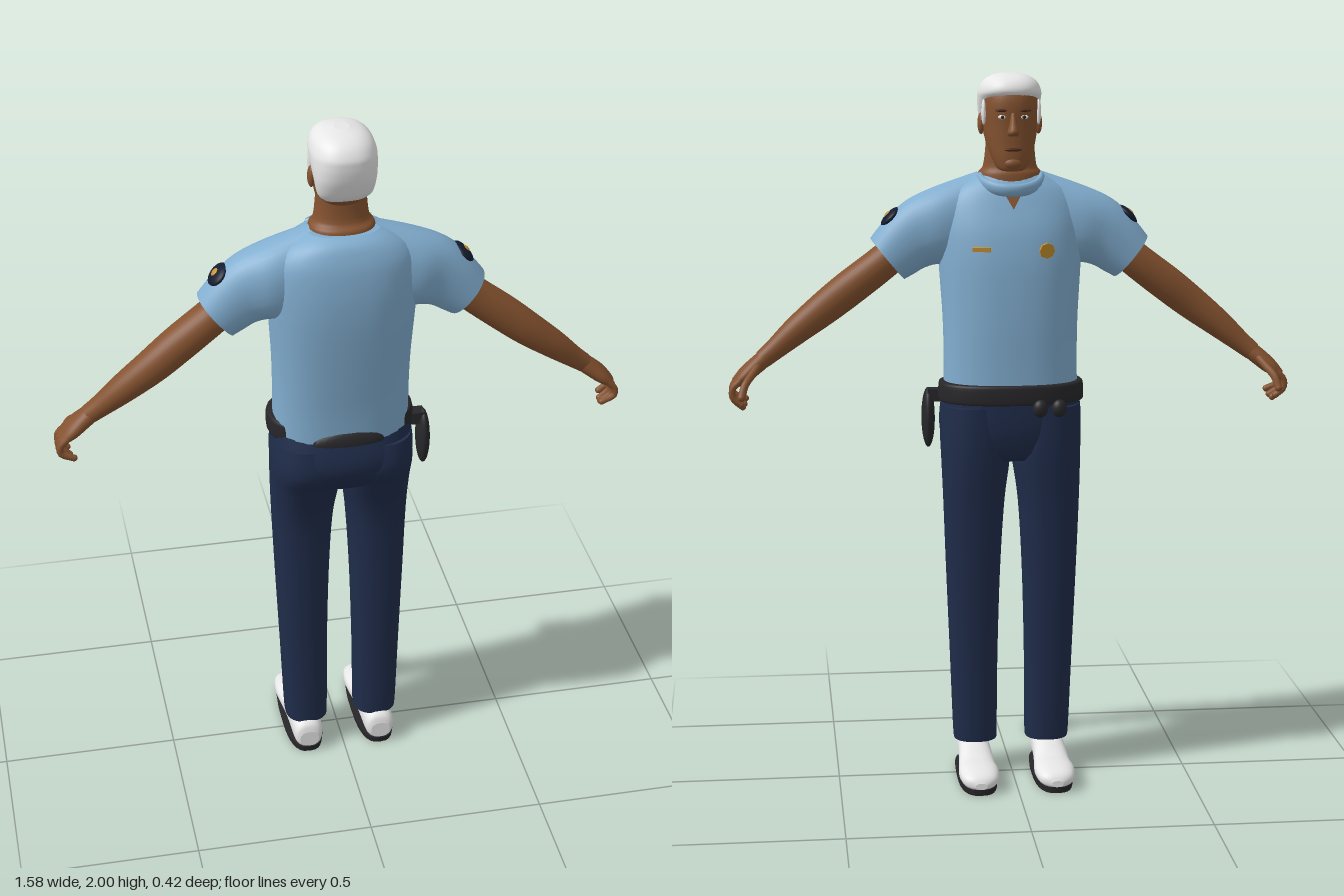
import * as THREE from 'three';
import { mergeGeometries } from 'three/addons/utils/BufferGeometryUtils.js';

const mat = (name, color) => {
  const m = new THREE.MeshStandardMaterial({ color });
  m.name = name;
  return m;
};

// Smooth skin over rings. Row: [ax, ay, bx, by, z0, z1] = two opposite ring points in xy and the z range.
function loft(keys, n = 2.2, steps = 4, seg = 32) {
  const rows = [];
  const at = i => keys[Math.max(0, Math.min(keys.length - 1, i))];
  for (let i = 0; i < keys.length - 1; i++) {
    for (let s = 0; s < steps; s++) {
      const t = s / steps, [p, q, r, w] = [at(i - 1), at(i), at(i + 1), at(i + 2)];
      rows.push(q.map((v, k) => v + 0.5 * t * (r[k] - p[k] +
        t * (2 * p[k] - 5 * v + 4 * r[k] - w[k] + t * (3 * (v - r[k]) + w[k] - p[k])))));
    }
  }
  rows.push(at(keys.length - 1));
  const pos = [], idx = [];
  const pw = v => Math.sign(v) * Math.abs(v) ** (2 / n);
  const ring = ([ax, ay, bx, by, z0, z1]) => {
    for (let j = 0; j < seg; j++) {
      const a = j / seg * Math.PI * 2, c = pw(Math.cos(a)) / 2, s = pw(Math.sin(a)) / 2;
      pos.push((ax + bx) / 2 + c * (ax - bx), (ay + by) / 2 + c * (ay - by), (z0 + z1) / 2 + s * (z1 - z0));
    }
  };
  rows.forEach(ring);
  const f = rows[0], l = rows[rows.length - 1];
  const dx = l[0] + l[2] - f[0] - f[2], dy = l[1] + l[3] - f[1] - f[3];
  const flip = (f[1] - f[3]) * dx - (f[0] - f[2]) * dy > 0;
  const tri = (a, b, c) => flip ? idx.push(a, c, b) : idx.push(a, b, c);
  for (let i = 0; i < rows.length - 1; i++) {
    for (let j = 0; j < seg; j++) {
      const a = i * seg + j, b = i * seg + (j + 1) % seg;
      tri(a, a + seg, b);
      tri(b, a + seg, b + seg);
    }
  }
  // flat end caps with their own corners
  [f, l].forEach((r, e) => {
    const o = pos.length / 3;
    ring(r);
    pos.push((r[0] + r[2]) / 2, (r[1] + r[3]) / 2, (r[4] + r[5]) / 2);
    for (let j = 0; j < seg; j++) {
      const a = o + j, b = o + (j + 1) % seg;
      if (e) tri(a, o + seg, b); else tri(a, b, o + seg);
    }
  });
  const g = new THREE.BufferGeometry();
  g.setAttribute('position', new THREE.Float32BufferAttribute(pos, 3));
  g.setIndex(idx);
  g.computeVertexNormals();
  return g;
}

// Upright rows: [y, half width, front z, back z]
const upright = (rows, n) => loft(rows.map(([y, w, z0, z1]) => [w, y, -w, y, z0, z1]), n);

const ball = (x, y, z, rx, ry, rz, tilt = 0) =>
  new THREE.SphereGeometry(1, 24, 16).scale(rx, ry, rz).rotateZ(tilt).translate(x, y, z);

function mirrored(geo) {
  const g = geo.clone().scale(-1, 1, 1), ix = g.index.array;
  for (let i = 0; i < ix.length; i += 3) [ix[i], ix[i + 1]] = [ix[i + 1], ix[i]];
  return g;
}

export function createModel() {
  const skin = mat('skin', 0x84522f), white = mat('white', 0xeaeaea), shirt = mat('shirt blue', 0x82aed0);
  const navy = mat('trouser navy', 0x1f2c4a), black = mat('black', 0x27272a), gold = mat('gold', 0xc8912e);
  const patch = mat('patch navy', 0x141c30), lip = mat('dark brown', 0x50291c);
  const root = new THREE.Group();
  root.name = 'officer';
  const add = (name, geo, m) => {
    const mesh = new THREE.Mesh(geo, m);
    mesh.name = name;
    root.add(mesh);
    return mesh;
  };
  const pair = (name, geo, m) => {
    add('left ' + name, geo, m);
    add('right ' + name, mirrored(geo), m);
  };

  // Shirt
  add('shirt body', upright([
    [1.1, .19, -.08, .178], [1.2, .188, -.08, .183], [1.32, .19, -.081, .195], [1.45, .198, -.077, .207],
    [1.52, .202, -.07, .21], [1.58, .203, -.058, .208], [1.64, .195, -.037, .2], [1.68, .168, -.021, .187],
    [1.705, .13, -.008, .172], [1.72, .1, .002, .15]], 2.4), shirt);
  pair('sleeve', loft([
    [.09, 1.728, .12, 1.45, .0, .15], [.2, 1.69, .19, 1.47, -.012, .16],
    [.285, 1.652, .235, 1.463, -.004, .145], [.345, 1.6, .268, 1.445, 0, .14],
    [.39, 1.545, .296, 1.43, .002, .138]]), shirt);
  add('collar', new THREE.TorusGeometry(.085, .011, 12, 32, Math.PI).rotateX(-Math.PI / 2)
    .scale(1, 1.7, 1).rotateX(-.35).translate(0, 1.712, .045), shirt);
  const vee = new THREE.BufferGeometry().setFromPoints([[-.03, 1.685, -.027], [.03, 1.685, -.027], [0, 1.632, -.046]]
    .map(p => new THREE.Vector3(...p)));
  vee.computeVertexNormals();
  add('open neckline', vee, skin);

  // Badge, name plate and shoulder patches
  add('badge', new THREE.CylinderGeometry(.022, .022, .008, 8).rotateX(Math.PI / 2 - .12).rotateY(.25)
    .translate(-.09, 1.52, -.066), gold);
  add('name plate', new THREE.BoxGeometry(.05, .012, .008).rotateX(-.12).rotateY(-.25)
    .translate(.09, 1.525, -.065), gold);
  const slope = -.8;
  pair('shoulder patch', ball(.334, 1.604, .068, .035, .013, .041, slope), patch);
  pair('patch emblem', ball(.341, 1.611, .068, .013, .006, .014, slope), gold);

  // Neck and head
  add('neck', upright([[1.68, .092, -.008, .14], [1.724, .089, -.006, .138], [1.745, .075, .002, .12],
    [1.8, .068, .002, .115], [1.84, .066, .01, .12]]), skin);
  add('head', upright([[1.735, .025, -.022, .02], [1.742, .04, -.032, .05], [1.77, .055, -.036, .09],
    [1.81, .068, -.035, .125], [1.86, .076, -.035, .15], [1.92, .079, -.037, .165], [1.96, .07, -.022, .15],
    [1.985, .045, .01, .12]], 2.3), skin);
  add('hair', upright([[1.815, .055, .08, .13], [1.835, .073, .073, .15], [1.875, .082, .056, .168],
    [1.905, .086, .024, .175], [1.93, .088, -.01, .177], [1.95, .087, -.037, .175], [1.975, .076, -.03, .158],
    [1.992, .053, -.004, .13], [2, .02, .04, .09]], 2.4), white);
  pair('sideburn', ball(.076, 1.895, .022, .007, .035, .013), white);
  pair('ear', ball(.08, 1.862, .06, .01, .03, .018), skin);
  add('nose', loft([[.012, 1.832, -.012, 1.832, -.046, -.02], [.017, 1.842, -.017, 1.842, -.064, -.02],
    [.011, 1.865, -.011, 1.865, -.054, -.02], [.007, 1.895, -.007, 1.895, -.04, -.02]], 2, 3, 16), skin);
  pair('eye', ball(.03, 1.884, -.03, .012, .006, .006), white);
  pair('pupil', ball(.03, 1.884, -.0345, .005, .005, .003), black);
  pair('brow', ball(.031, 1.902, -.032, .019, .004, .006), lip);
  add('mouth', ball(0, 1.795, -.034, .024, .005, .006), lip);
  add('chin', ball(0, 1.757, -.026, .025, .016, .015), skin);

  // Arms: centre, half thickness, z centre, half depth, square to the arm's slope
  const limb = rows => loft(rows.map(([x, y, r, z, d]) =>
    [x + .63 * r, y + .78 * r, x - .63 * r, y - .78 * r, z - d, z + d]), 2.1);
  pair('arm', limb([[.31, 1.515, .048, .068, .052], [.37, 1.466, .049, .068, .053], [.45, 1.405, .05, .072, .052],
    [.52, 1.35, .047, .076, .048], [.6, 1.288, .039, .072, .042], [.66, 1.238, .03, .064, .033],
    [.695, 1.21, .026, .058, .03]]), skin);
  pair('palm', limb([[.685, 1.217, .024, .059, .029], [.715, 1.193, .024, .056, .038],
    [.745, 1.168, .022, .054, .045], [.772, 1.146, .014, .054, .041]]), skin);
  const digit = (pts, r) => {
    const curve = new THREE.CatmullRomCurve3(pts.map(p => new THREE.Vector3(...p)));
    const [x, y, z] = pts[pts.length - 1];
    return mergeGeometries([new THREE.TubeGeometry(curve, 10, r, 10), ball(x, y, z, r, r, r)]);
  };
  [.018, .042, .066, .089].forEach((z, i) => {
    const drop = [.01, 0, .004, .016][i];
    pair('finger ' + (i + 1), digit([[.757, 1.158, z], [.779, 1.135, z], [.78, 1.105 + drop / 2, z],
      [.757 - i * .004, 1.079 + drop, z]], .0095), skin);
  });
  pair('thumb', digit([[.705, 1.2, .035], [.725, 1.175, .008], [.745, 1.15, -.018], [.755, 1.118, -.034]], .011), skin);

  // Trousers
  add('hips', upright([[.925, .12, -.045, .13], [.95, .172, -.062, .163], [1, .198, -.075, .191],
    [1.05, .201, -.079, .193], [1.11, .194, -.079, .175]], 2.4), navy);
  pair('trouser leg', loft([[.095, .042, .165, -.02, .11], [.14, .041, .168, -.023, .11], [.35, .039, .176, -.032, .108],
    [.6, .032, .186, -.046, .109], [.8, .02, .193, -.059, .116], [.92, .004, .197, -.07, .15],
    [1, .002, .199, -.074, .187], [1.08, .002, .196, -.074, .175]]
    .map(([y, x0, x1, z0, z1]) => [x1, y, x0, y, z0, z1]), 2.4), navy);

  // Belt and the things worn on it
  add('belt', upright([[1.09, .198, -.086, .16], [1.097, .205, -.092, .165], [1.138, .204, -.092, .165],
    [1.146, .196, -.086, .16]], 2.4), black);
  add('back belt pad', new THREE.SphereGeometry(1, 24, 8, 0, Math.PI * 2, 0, Math.PI / 2)
    .scale(.1, .042, .026).translate(0, 1.1, .166), black);
  add('holster', ball(.232, 1.035, .068, .019, .086, .041), black);
  add('holster clip', new THREE.BoxGeometry(.045, .035, .04).translate(.212, 1.1, .065), black);
  [-.123, -.07].forEach((x, i) => add('belt pouch ' + (i + 1), ball(x, 1.082, -.088, .021, .025, .018), black));

  // Shoes, shaped along their length and then turned to face forward
  pair('shoe', loft([[-.13, .07, .02, .028], [-.112, .1, .012, .042], [-.03, .104, .012, .046], [.02, .094, .012, .048],
    [.07, .07, .012, .052], [.13, .069, .012, .057], [.18, .06, .012, .05], [.2, .05, .014, .036], [.21, .036, .018, .016]]
    .map(([x, top, low, w]) => [x, top, x, low, -w, w]), 2.4).rotateY(Math.PI / 2).translate(.108, 0, 0), white);
  pair('sole', loft([[.163, 0, .053, 0, -.208, .13], [.165, .018, .051, .018, -.21, .132]], 2.8, 1), black);

  return root;
}
